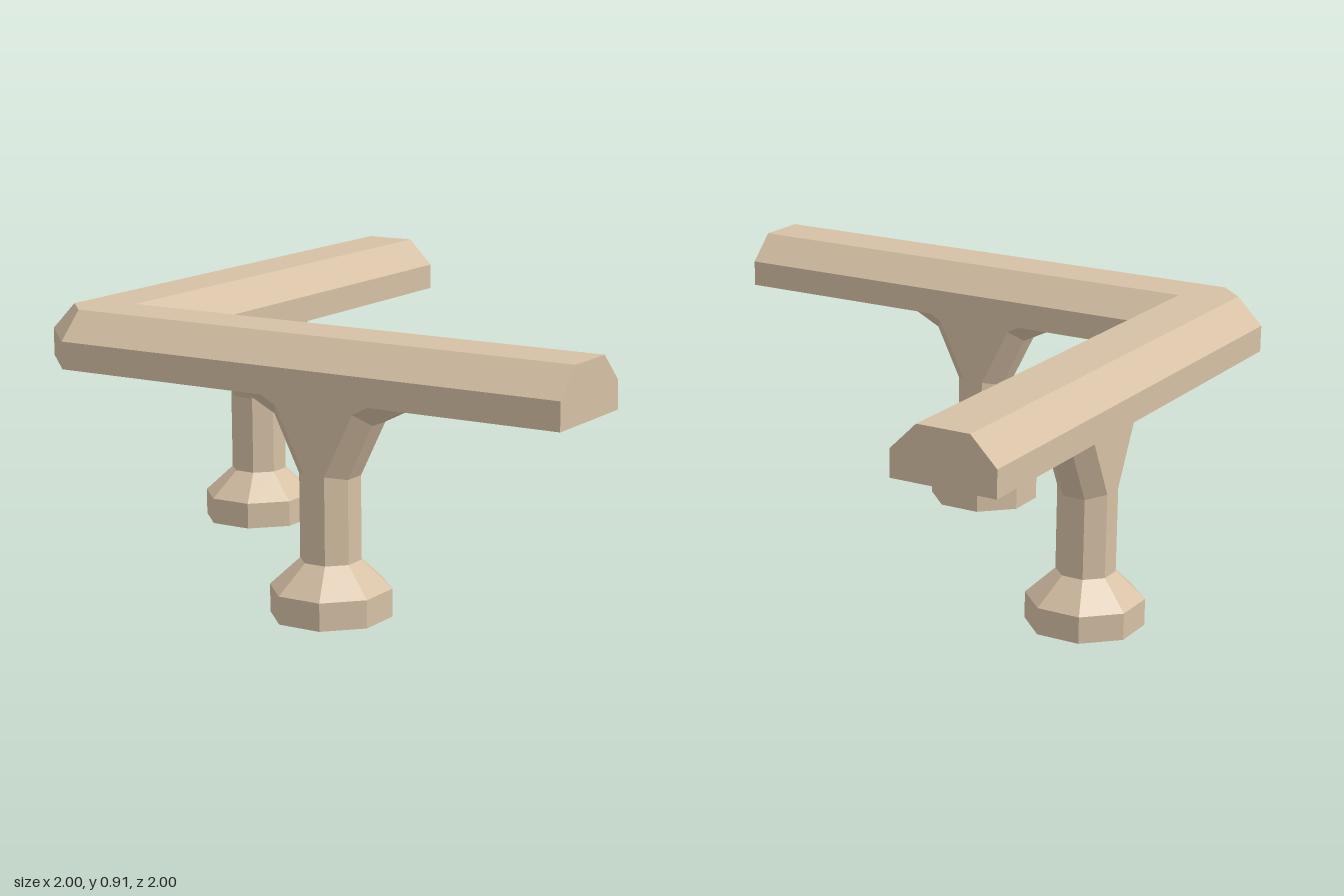
import * as THREE from 'three';

const U = 1 / 11; // every size is a multiple of this step

// Faceted skin over rings of points; rings run counter-clockwise seen from the far end.
function loft(rings, capStart, capEnd) {
  const positions = [];
  const triangle = new THREE.Triangle();
  const addTriangle = (a, b, c) => {
    triangle.set(a, b, c);
    if (triangle.getArea() < 1e-6) return;
    for (const p of [a, b, c]) positions.push(p.x * U, p.y * U, p.z * U);
  };
  for (let r = 0; r < rings.length - 1; r++) {
    const low = rings[r], high = rings[r + 1], n = low.length;
    for (let j = 0; j < n; j++) {
      const k = (j + 1) % n;
      addTriangle(low[j], low[k], high[k]);
      addTriangle(low[j], high[k], high[j]);
    }
  }
  const first = rings[0], last = rings[rings.length - 1];
  for (let j = 1; j < first.length - 1; j++) {
    if (capStart) addTriangle(first[0], first[j + 1], first[j]);
    if (capEnd) addTriangle(last[0], last[j], last[j + 1]);
  }
  const geometry = new THREE.BufferGeometry();
  geometry.setAttribute('position', new THREE.Float32BufferAttribute(positions, 3));
  geometry.computeVertexNormals();
  return geometry;
}

const K = Math.SQRT2 - 1; // half side of an octagon with apothem 1

// Octagonal ring: end flats at (ox, oy), long front and back flats ending at (ix, iy).
function octagon(ox, oy, ix, iy, depth) {
  const c = K * depth;
  return [[-ix, iy, depth], [ix, iy, depth], [ox, oy, c], [ox, oy, -c],
    [ix, iy, -depth], [-ix, iy, -depth], [-ox, oy, -c], [-ox, oy, c]]
    .map((p) => new THREE.Vector3(...p));
}

// L-shaped rail with bevelled top edges, mitred inside and clipped outside.
function railGeometry() {
  const across = [-11, -7, -7, -8, -10, -11];
  const heights = [8, 8, 9, 10, 10, 9];
  const cornerZ = [9, 7, 7, 8, 9, 9];
  const section = (place) => heights.map((y, j) => {
    const [x, z] = place(j);
    return new THREE.Vector3(x, y, z);
  });
  return loft([
    section((j) => [across[j], -11]),
    section((j) => [across[j], cornerZ[j]]),
    section((j) => [-cornerZ[j], -across[j]]),
    section((j) => [11, -across[j]]),
  ], true, true);
}

export function createModel() {
  const group = new THREE.Group();
  const stone = new THREE.MeshStandardMaterial({ color: 0xd6c0a5 });
  stone.name = 'sandstone';

  const add = (parent, name, geometry) => {
    const mesh = new THREE.Mesh(geometry, stone);
    mesh.name = name;
    parent.add(mesh);
  };

  add(group, 'cornerRail', railGeometry());

  // Round foot, tapering into the shaft
  const foot = loft([
    octagon(2, 0, 2 * K, 0, 2),
    octagon(2, 1, 2 * K, 1, 2),
    octagon(1, 2, K, 2, 1),
  ], true, false);

  // Shaft that spreads into two bent brackets under the rail
  const shaft = loft([
    octagon(1, 2, K, 2, 1),
    octagon(1, 5, K, 5.138, 1),
    octagon(2, 7, 1.563, 7.437, 1),
    octagon(4, 8, 2.69, 8, 1),
  ], false, false);

  const addPost = (name, x, z, turn) => {
    const post = new THREE.Group();
    post.name = name;
    post.position.set(x * U, 0, z * U);
    post.rotation.y = turn;
    add(post, 'foot', foot);
    add(post, 'bracketShaft', shaft);
    group.add(post);
  };
  addPost('frontPost', 1, 9, 0);
  addPost('sidePost', -9, -1, Math.PI / 2);

  return group;
}
